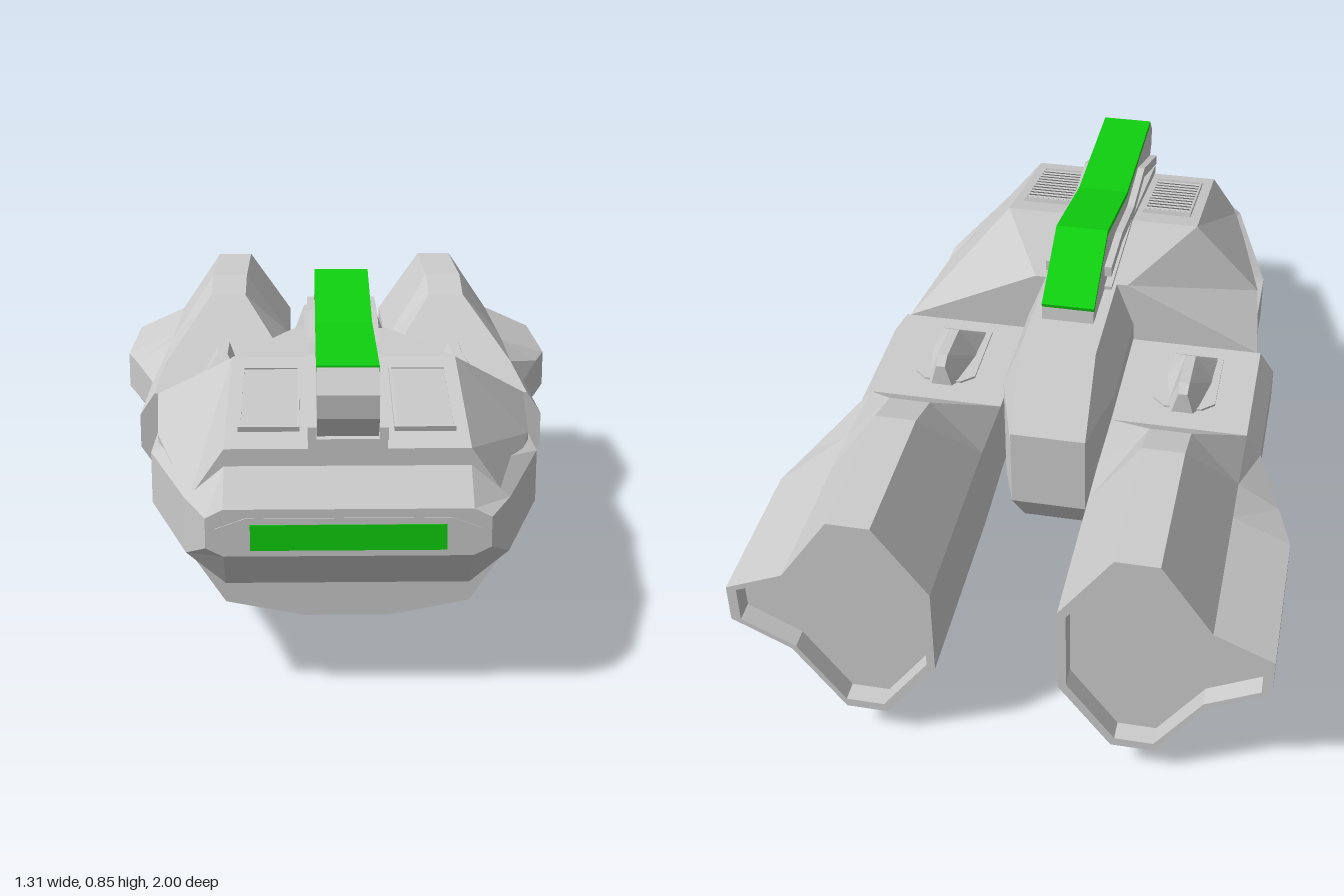
import * as THREE from 'three';

const GREY = new THREE.MeshStandardMaterial({ color: 0xcccccc, flatShading: true, side: THREE.DoubleSide });
const GREEN = new THREE.MeshStandardMaterial({ color: 0x0fd00f, flatShading: true, side: THREE.DoubleSide });

// Skin cross-sections [z, [[x, y], ...]] ordered front to back, counter-clockwise seen from the front.
function loft(sections) {
  const pos = [];
  const ring = ([z, pts]) => pts.map(([x, y]) => [x, y, z]);
  const tri = (a, b, c) => pos.push(...a, ...b, ...c);
  const rings = sections.map(ring);
  const n = rings[0].length;
  for (let s = 0; s < rings.length - 1; s++) {
    const p = rings[s], q = rings[s + 1];
    for (let i = 0; i < n; i++) {
      const j = (i + 1) % n;
      tri(p[i], q[i], p[j]);
      tri(p[j], q[i], q[j]);
    }
  }
  const cap = (r, front) => {
    const c = [0, 1, 2].map((k) => r.reduce((t, v) => t + v[k], 0) / n);
    for (let i = 0; i < n; i++) {
      const j = (i + 1) % n;
      if (front) tri(c, r[i], r[j]);
      else tri(c, r[j], r[i]);
    }
  };
  cap(rings[0], true);
  cap(rings[rings.length - 1], false);
  const g = new THREE.BufferGeometry();
  g.setAttribute('position', new THREE.Float32BufferAttribute(pos, 3));
  g.computeVertexNormals();
  return g;
}

// Full section from right-half points listed top to bottom.
const sym = (half) => [...half.slice().reverse(), ...half.map(([x, y]) => [-x, y])];

// Clockwise points for the +x side, turned into a section for either side.
const sided = (pts, side) => (side > 0 ? pts.slice().reverse() : pts.map(([x, y]) => [-x, y]));

// Side profile of [z, y] points, extruded across x.
function slab(profile, width, x = 0) {
  const shape = new THREE.Shape(profile.map(([z, y]) => new THREE.Vector2(z, y)));
  return new THREE.ExtrudeGeometry(shape, { depth: width, bevelEnabled: false })
    .translate(0, 0, -width / 2).rotateY(-Math.PI / 2).translate(x, 0, 0);
}

export function createModel() {
  const model = new THREE.Group();
  const add = (name, geometry, material = GREY, parent = model) => {
    const mesh = new THREE.Mesh(geometry, material);
    mesh.name = name;
    parent.add(mesh);
    return mesh;
  };
  const box = (w, h, d, x, y, z) => new THREE.BoxGeometry(w, h, d).translate(x, y, z);

  // Main hull
  add('hull', loft([
    [0.91, sym([[0.28, 0.575], [0.36, 0.46], [0.36, 0.33], [0.28, 0.21], [0.1, 0.175]])],
    [0.45, sym([[0.28, 0.68], [0.47, 0.48], [0.47, 0.31], [0.28, 0.11], [0.1, 0.07]])],
    [0.11, sym([[0.13, 0.68], [0.5, 0.5], [0.5, 0.29], [0.13, 0.11], [0.1, 0.11]])],
  ]));

  // Nose and side band
  add('noseBand', loft([
    [0.995, sym([[0.28, 0.46], [0.32, 0.44], [0.32, 0.37], [0.28, 0.35]])],
    [0.91, sym([[0.28, 0.535], [0.37, 0.46], [0.37, 0.33], [0.28, 0.255]])],
    [0.54, sym([[0.28, 0.535], [0.48, 0.46], [0.48, 0.33], [0.28, 0.255]])],
    [0.17, sym([[0.28, 0.5], [0.48, 0.455], [0.48, 0.335], [0.28, 0.29]])],
  ]));
  const rim = new THREE.Shape(sym([[0.23, 0.44], [0.3, 0.415], [0.3, 0.375], [0.23, 0.355]]).map((p) => new THREE.Vector2(...p)));
  add('noseLightFrame', new THREE.ExtrudeGeometry(rim, { depth: 0.006, bevelEnabled: false }).translate(0, 0, 0.992));
  add('noseLight', box(0.44, 0.06, 0.008, 0, 0.395, 0.996), GREEN);

  // Rear core between the nacelles
  add('core', loft([
    [0.15, sym([[0.1, 0.68], [0.15, 0.55], [0.15, 0.24], [0.1, 0.09]])],
    [-0.22, sym([[0.1, 0.68], [0.15, 0.55], [0.15, 0.24], [0.1, 0.09]])],
    [-0.37, sym([[0.1, 0.5], [0.1, 0.46], [0.1, 0.31], [0.1, 0.27]])],
  ]));

  // Underside
  add('bellyFin', slab([[0.31, 0.08], [0.12, 0], [0.09, 0.03], [0.09, 0.12], [0.31, 0.12]], 0.19));
  add('bellyLight', box(0.18, 0.008, 0.27, 0, 0.088, -0.07), GREEN);
  add('keelLight', slab([[0.46, 0.069], [0.64, 0.111], [0.64, 0.12], [0.46, 0.08]], 0.18), GREEN);

  // Raised spine with a coloured strip on top
  add('spine', slab([[0.89, 0.585], [0.95, 0.655], [0.955, 0.71], [0.91, 0.76], [0.455, 0.765], [0.12, 0.84],
    [-0.085, 0.722], [-0.09, 0.67], [0.44, 0.67]], 0.14));
  add('spineStrip', slab([[0.9, 0.765], [0.455, 0.77], [0.12, 0.845], [-0.088, 0.727], [-0.085, 0.715],
    [0.12, 0.83], [0.455, 0.755], [0.9, 0.75]], 0.142), GREEN);
  add('spineFoot', slab([[0.92, 0.575], [0.92, 0.6], [0.46, 0.69], [0.08, 0.69], [0.08, 0.66], [0.46, 0.66]], 0.18));

  for (const side of [1, -1]) {
    const label = side > 0 ? 'left' : 'right';

    // Rails along the spine
    add(label + 'SpineRail', slab([[0.93, 0.6], [0.93, 0.63], [0.66, 0.735], [0.46, 0.72], [0.25, 0.76], [0.07, 0.76],
      [0.07, 0.73], [0.25, 0.73], [0.46, 0.69], [0.66, 0.705]], 0.02, side * 0.081));

    // Louvred vent on the sloping deck
    const vent = new THREE.Group();
    vent.name = label + 'Vent';
    vent.position.set(side * 0.18, 0.632, 0.68);
    vent.rotation.x = Math.atan(0.105 / 0.46);
    model.add(vent);
    for (const s of [-1, 1]) {
      add('ventFrameSide', box(0.006, 0.016, 0.31, s * 0.068, 0, 0), GREY, vent);
      add('ventFrameEnd', box(0.14, 0.016, 0.008, 0, 0, s * 0.152), GREY, vent);
    }
    for (let i = 0; i < 11; i++) {
      add('ventSlat', new THREE.BoxGeometry(0.13, 0.005, 0.02).rotateX(0.5).translate(0, 0.003, -0.13 + i * 0.026), GREY, vent);
    }

    // Nacelle: slim front part
    const neck = [[0.15, 0.5], [0.51, 0.5], [0.55, 0.44], [0.55, 0.35], [0.51, 0.29], [0.15, 0.29]];
    add(label + 'Nacelle', loft([0.11, -0.26].map((z) => [z, sided(neck, side)])));

    // Flared engine with a shallow hollow at the rear
    const flare = (out, top, bottom) => [[0.28, top], [0.385, top], [0.51, 0.515], [out, 0.45], [out, 0.345],
      [0.51, 0.27], [0.385, bottom], [0.28, bottom], [0.15, 0.27], [0.15, 0.515]];
    const start = [[0.15, 0.5], [0.51, 0.5], [0.51, 0.5], [0.55, 0.44], [0.55, 0.35],
      [0.51, 0.29], [0.51, 0.29], [0.15, 0.29], [0.15, 0.29], [0.15, 0.5]];
    const full = flare(0.655, 0.7, 0.09);
    const inner = full.map(([x, y]) => [0.38 + (x - 0.38) * 0.91, 0.395 + (y - 0.395) * 0.92]);
    add(label + 'Engine', loft([
      [-0.26, start], [-0.475, flare(0.616, 0.66, 0.13)], [-0.6, full], [-1, full], [-1, inner], [-0.95, inner],
    ].map(([z, pts]) => [z, sided(pts, side)])));

    // Nacelle hatch and the small fin on it
    const cx = side * 0.33;
    const hatch = new THREE.Shape([[-0.05, 0.18], [-0.083, 0.15], [-0.083, -0.06], [0.083, -0.06], [0.083, 0.15], [0.05, 0.18]]
      .map((p) => new THREE.Vector2(...p)));
    add(label + 'Hatch', new THREE.ExtrudeGeometry(hatch, { depth: 0.008, bevelEnabled: false })
      .rotateX(-Math.PI / 2).translate(cx, 0.498, 0));
    add(label + 'HatchFin', loft([
      [0.055, sym([[0.065, 0.507], [0.075, 0.495]])],
      [-0.04, sym([[0.014, 0.575], [0.07, 0.495]])],
      [-0.17, sym([[0.014, 0.582], [0.045, 0.495]])],
      [-0.195, sym([[0.012, 0.56], [0.03, 0.495]])],
    ]).translate(cx, 0, 0));
  }
  return model;
}
